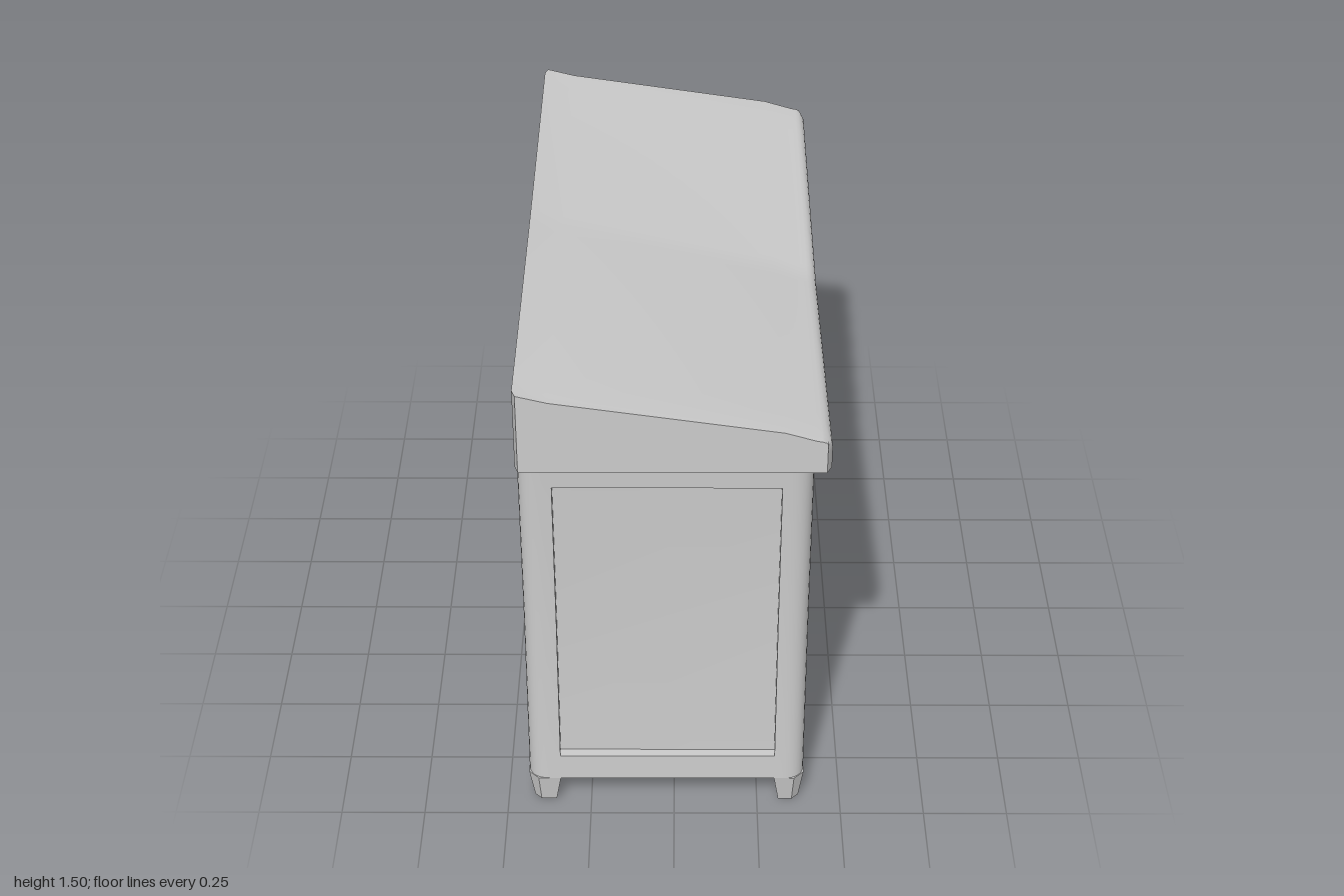
import * as THREE from 'three';
import { toCreasedNormals } from 'three/addons/utils/BufferGeometryUtils.js';

const BACK = -0.437, FRONT = 0.39, END = 0.95;   // body limits
const Y0 = 0.095, Y1 = 1.25;                     // body bottom and top
const MID = (Y0 + Y1) / 2;
const mat = new THREE.MeshStandardMaterial({ color: 0xcccccc });
const clamp = THREE.MathUtils.clamp;

// Move every vertex of a geometry by a rule
function deform(geo, rule) {
  const p = geo.attributes.position, v = new THREE.Vector3();
  for (let i = 0; i < p.count; i++) {
    v.fromBufferAttribute(p, i);
    rule(v);
    p.setXYZ(i, v.x, v.y, v.z);
  }
  return geo;
}

// Ends pinch in at mid height; the front dips toward its centre
function warp(v) {
  const pinch = Math.max(0, 1 - Math.abs(v.y - MID) / (MID - Y0));
  const dip = clamp(1 - Math.abs(v.z) / END, 0, 1);
  const forward = clamp((v.x - BACK) / (0.3 - BACK), 0, 1);
  const height = clamp((v.y - Y0) / (Y1 - Y0), 0, 1);
  v.z *= 1 - 0.022 * pinch;
  v.y -= (0.01 + 0.05 * forward) * dip * height;
}

function part(name, geo, crease = 0.6) {
  const mesh = new THREE.Mesh(toCreasedNormals(geo, crease), mat);
  mesh.name = name;
  return mesh;
}

// Box given by its limits, segmented so that it can follow the warp
function board(name, x0, x1, y0, y1, z0, z1) {
  const geo = new THREE.BoxGeometry(x1 - x0, y1 - y0, z1 - z0, 2, 2, 8);
  geo.translate((x0 + x1) / 2, (y0 + y1) / 2, (z0 + z1) / 2);
  return part(name, deform(geo, warp));
}

// Upright block at a corner, rounded on its outer edge
function cornerBlock(front, side, y0, y1, r, curveSegments) {
  const xo = front ? FRONT : BACK, xi = front ? 0.3 : -0.34;
  const zo = side * END, zi = side * 0.87;
  const s = new THREE.Shape();
  s.moveTo(xi, -zi);
  s.lineTo(xo, -zi);
  s.lineTo(xo, -(zo - side * r));
  s.quadraticCurveTo(xo, -zo, xo - (front ? r : -r), -zo);
  s.lineTo(xi, -zo);
  s.closePath();
  const geo = new THREE.ExtrudeGeometry(s, { depth: y1 - y0, steps: 2, curveSegments, bevelEnabled: false });
  return geo.rotateX(-Math.PI / 2).translate(0, y0, 0);
}

function createLid() {
  const s = new THREE.Shape();
  s.moveTo(BACK, Y1);
  s.lineTo(0.432, Y1);
  s.lineTo(0.432, 1.315);
  s.quadraticCurveTo(0.432, 1.35, 0.39, 1.353);
  s.lineTo(0.3, 1.38);
  s.lineTo(-0.34, 1.475);
  s.lineTo(BACK, 1.497);
  s.closePath();
  const geo = new THREE.ExtrudeGeometry(s, { depth: 2, steps: 40, curveSegments: 6, bevelEnabled: false });
  geo.translate(0, 0, -1);
  deform(geo, v => {
    const a = Math.abs(v.z);
    // small chamfers at the four corners
    if (a > 0.99) v.x = clamp(v.x, BACK + 0.01, 0.418);
    else if (a > 0.94) v.z = Math.sign(v.z) * 0.972;
    warp(v);
  });
  return part('lid', geo);
}

export function createModel() {
  const model = new THREE.Group();
  model.name = 'cabinet';

  // Recessed panels are the faces of the inner core
  model.add(board('innerPanels', -0.4, FRONT - 0.03, Y0, Y1, -0.92, 0.92));
  model.add(board('backPanel', BACK, -0.34, Y0, Y1, -0.87, 0.87));
  model.add(board('frontBottomRail', 0.3, FRONT, Y0, 0.15, -0.87, 0.87));
  model.add(board('frontTopRail', 0.3, FRONT, 1.195, Y1, -0.87, 0.87));

  for (const side of [1, -1]) {
    const z = [side * 0.87, side * END].sort((a, b) => a - b);
    model.add(board('sideBottomRail', -0.34, 0.3, Y0, 0.18, ...z));
    model.add(board('sideTopRail', -0.34, 0.3, 1.16, Y1, ...z));

    for (const front of [true, false]) {
      model.add(part('cornerPost', deform(cornerBlock(front, side, Y0, Y1, 0.065, 8), warp)));

      // Feet taper toward the floor
      const cx = front ? 0.345 : -0.388, cz = side * 0.905;
      const foot = deform(cornerBlock(front, side, 0, Y0, 0.03, 1), v => {
        const k = 0.68 + 0.32 * v.y / Y0;
        v.x = cx + (v.x - cx) * k;
        v.z = cz + (v.z - cz) * k;
      });
      model.add(part('foot', foot, 0.3));
    }
  }

  model.add(createLid());
  return model;
}
